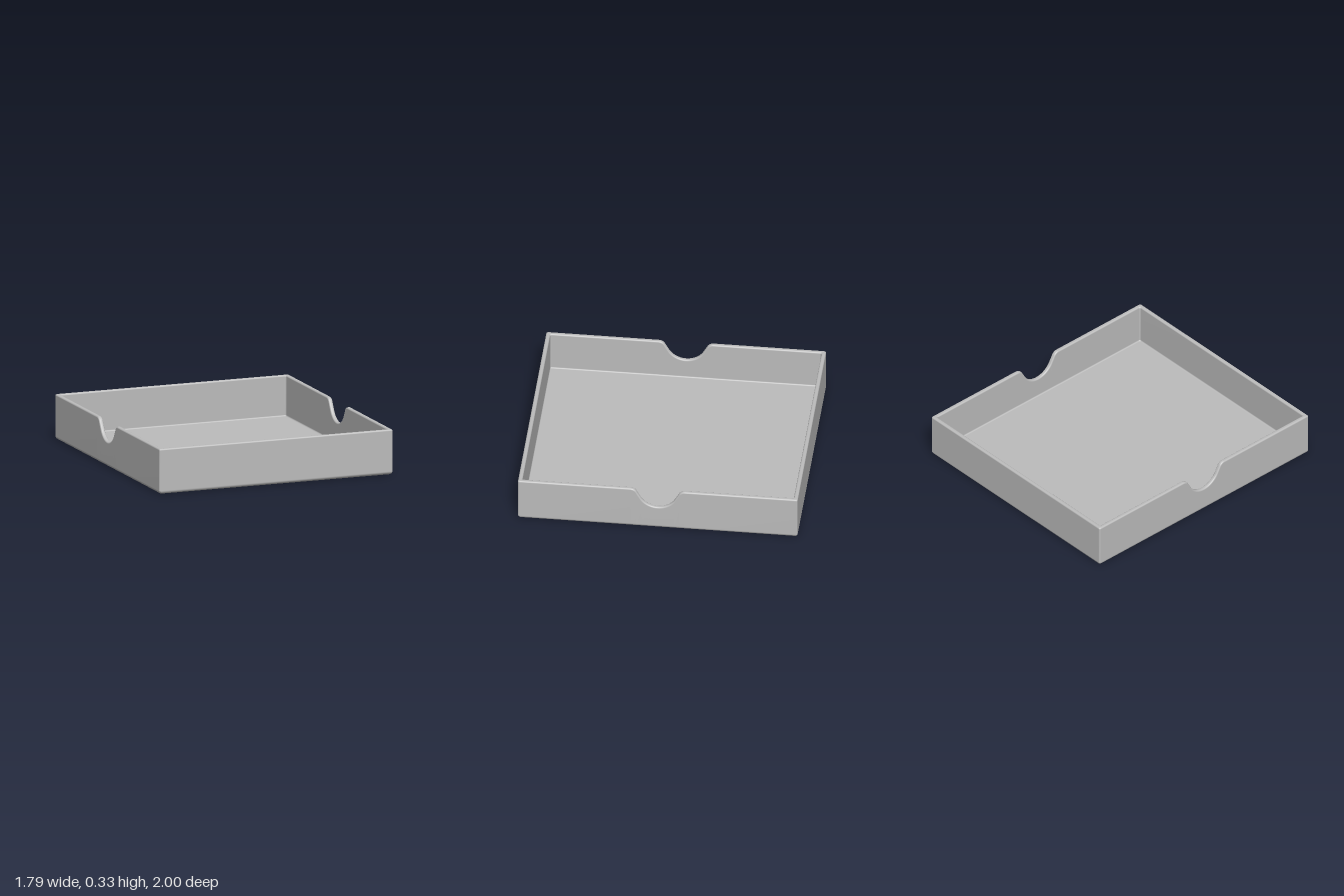
import * as THREE from 'three';

const HALF_X = 0.893, HALF_Z = 1, HEIGHT = 0.328;
const WALL = 0.031, FLOOR = 0.031;
const FOOT_R = 0.025, RIM_R = 0.011, INNER_R = 0.01, CORNER_R = 0.012;
const NOTCH_Y = 0.18, NOTCH_HALF = 0.195, NOTCH_R = 0.14, SHOULDER_R = 0.05;

// Half of the finger notch: bottom arc, straight flank, rounded shoulder.
// k stretches the rim rounding on the sloping parts.
function halfNotch() {
  const points = [], end = Math.PI / 3, n = 10;
  for (let i = 0; i <= n; i++) {
    const a = end * i / n;
    points.push({ z: NOTCH_R * Math.sin(a), y: NOTCH_Y + NOTCH_R * (1 - Math.cos(a)), k: 1 / Math.cos(a) });
  }
  for (let i = n; i >= 0; i--) {
    const a = end * i / n;
    points.push({ z: NOTCH_HALF - SHOULDER_R * Math.sin(a), y: HEIGHT - SHOULDER_R * (1 - Math.cos(a)), k: 1 / Math.cos(a) });
  }
  return points;
}

// Stations around the outline; each gives a point for any inset, and its rim height
function outline() {
  const stations = [];
  const half = halfNotch();
  const notch = [...half.slice(1).reverse().map(p => ({ ...p, z: -p.z })), ...half];
  const side = (s) => {
    for (const p of notch) stations.push({ at: d => [s * (HALF_X - d), s * p.z], rim: p.y, k: p.k });
  };
  const corner = (sx, sz, start) => {
    for (let i = 0; i <= 4; i++) {
      const a = start + Math.PI / 2 * i / 4;
      stations.push({
        at: d => [sx * (HALF_X - d - CORNER_R) + CORNER_R * Math.cos(a),
          sz * (HALF_Z - d - CORNER_R) + CORNER_R * Math.sin(a)],
        rim: HEIGHT, k: 1
      });
    }
  };
  side(1);
  corner(1, 1, 0);
  corner(-1, 1, Math.PI / 2);
  side(-1);
  corner(-1, -1, Math.PI);
  corner(1, -1, Math.PI * 1.5);
  return stations;
}

// Wall section from underside, up the outside, over the rim and down to the floor.
// d = inset, y = fixed height, or drop = distance below the rim
function wallSection() {
  const section = [], n = 5;
  const arc = (f) => {
    for (let i = 0; i <= n; i++) {
      const a = Math.PI / 2 * i / n;
      section.push(f(1 - Math.cos(a), 1 - Math.sin(a)));
    }
  };
  arc((c, s) => ({ d: FOOT_R * s, y: FOOT_R * c }));
  arc((c, s) => ({ d: RIM_R * c, drop: RIM_R * s }));
  arc((c, s) => ({ d: WALL - RIM_R * s, drop: RIM_R * c }));
  arc((c, s) => ({ d: WALL + INNER_R * c, y: FLOOR + INNER_R * s }));
  return section;
}

function trayGeometry() {
  const stations = outline(), section = wallSection();
  const n = stations.length, m = section.length;
  const positions = [], index = [];
  for (const st of stations) {
    for (const p of section) {
      const [x, z] = st.at(p.d);
      positions.push(x, p.y ?? st.rim - p.drop * st.k, z);
    }
  }
  const under = n * m, top = under + 1;
  positions.push(0, 0, 0, 0, FLOOR, 0);
  for (let i = 0; i < n; i++) {
    const a = i * m, b = ((i + 1) % n) * m;
    for (let j = 0; j < m - 1; j++) {
      index.push(a + j, a + j + 1, b + j, b + j, a + j + 1, b + j + 1);
    }
    // underside and floor
    index.push(under, a, b, top, b + m - 1, a + m - 1);
  }
  const geometry = new THREE.BufferGeometry();
  geometry.setAttribute('position', new THREE.Float32BufferAttribute(positions, 3));
  geometry.setIndex(index);
  geometry.computeVertexNormals();
  return geometry;
}

export function createModel() {
  const group = new THREE.Group();
  group.name = 'openTray';
  const grey = new THREE.MeshStandardMaterial({ color: 0xbcbcbc });
  grey.name = 'light grey';
  const tray = new THREE.Mesh(trayGeometry(), grey);
  tray.name = 'trayShell';
  group.add(tray);
  return group;
}
